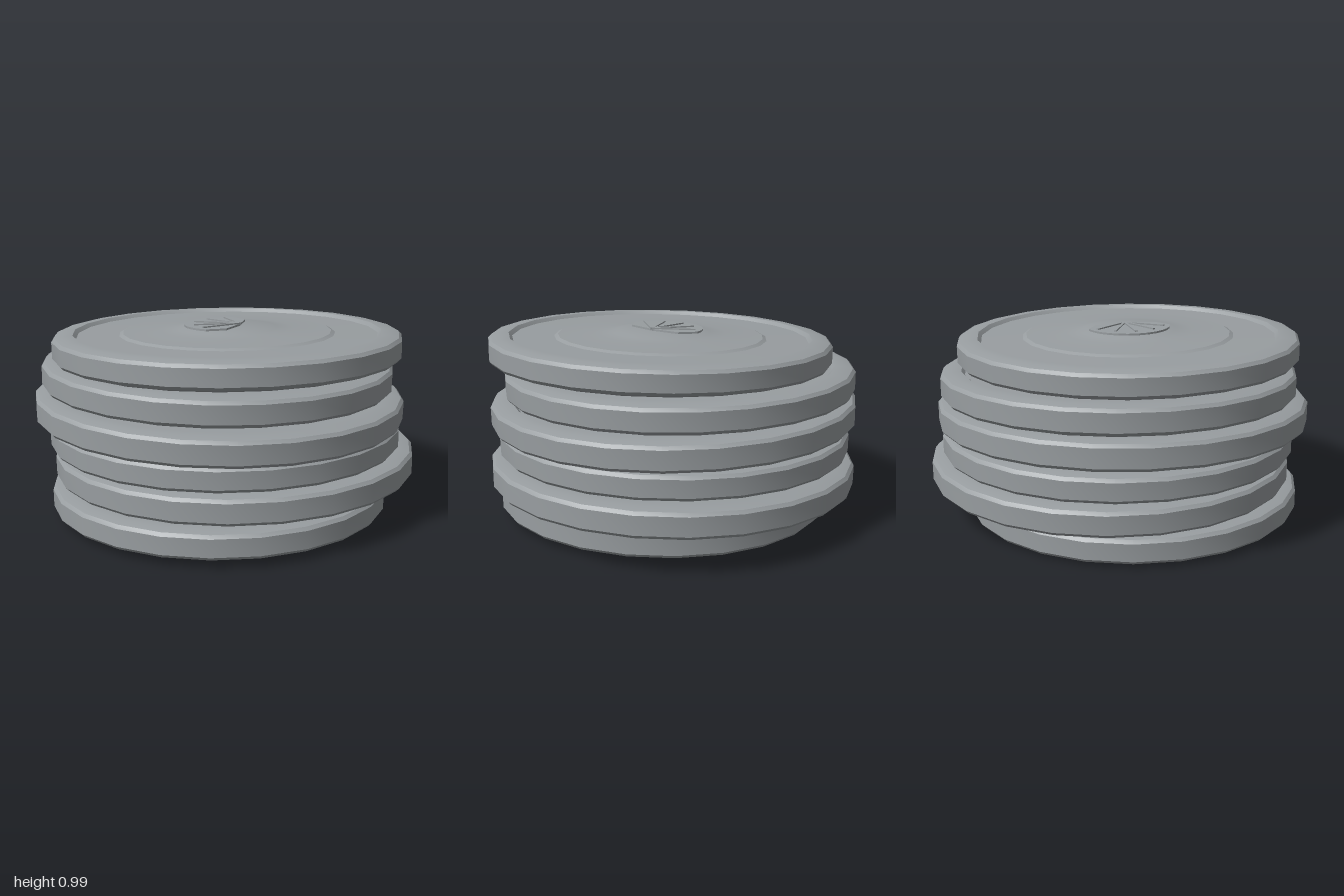
import * as THREE from 'three';
import { toCreasedNormals } from 'three/addons/utils/BufferGeometryUtils.js';

const SIDES = 24;

// Revolve a half profile into a coin with crisp steps and smooth walls
function turned(profile, phase) {
  const points = profile.map(([r, y]) => new THREE.Vector2(r, y));
  return toCreasedNormals(new THREE.LatheGeometry(points, SIDES, phase), 0.33);
}

// Flat underside, chamfered wall, rounded rim, then the given face
function discProfile(R, h, face) {
  return [
    [0, 0], [R - 0.06, 0], [R - 0.015, 0.015], [R, 0.032],
    [R, h - 0.028], [R - 0.015, h - 0.012], [R - 0.055, h - 0.002], [R - 0.1, h],
    ...face,
  ];
}

// Fan-shaped relief with five ribs, pointing towards +x
function createFan(material) {
  const fan = new THREE.Group();
  fan.name = 'fanRelief';
  const shape = new THREE.Shape();
  shape.moveTo(0.072, 0);
  shape.lineTo(0.05, 0.165);
  for (let i = 0; i <= 12; i++) {
    const a = THREE.MathUtils.degToRad(100 + (160 * i) / 12);
    shape.lineTo(Math.cos(a) * 0.225, Math.sin(a) * 0.225);
  }
  shape.lineTo(0.05, -0.165);
  shape.closePath();
  const plate = new THREE.Mesh(
    new THREE.ExtrudeGeometry(shape, { depth: 0.02, bevelEnabled: false }), material);
  plate.name = 'fanPlate';
  plate.rotation.x = -Math.PI / 2;
  fan.add(plate);

  for (let i = -2; i <= 2; i++) {
    const length = 0.25 - 0.01 * Math.abs(i);
    const geometry = new THREE.BoxGeometry(length, 0.014, 0.014);
    geometry.translate(-length / 2, 0, 0);
    const rib = new THREE.Mesh(geometry, material);
    rib.name = 'fanRib';
    rib.position.set(0.07, 0.02, 0);
    rib.rotation.y = THREE.MathUtils.degToRad(i * 26);
    fan.add(rib);
  }
  fan.rotation.y = THREE.MathUtils.degToRad(7);
  return fan;
}

export function createModel() {
  const model = new THREE.Group();
  model.name = 'coinStack';
  const metal = new THREE.MeshStandardMaterial({ color: 0x989da0 });
  metal.name = 'greyMetal';

  // Radius, centre x, z, base y, thickness, slope along x and z, turn
  const half = Math.PI / SIDES;
  const coins = [
    [0.895, 0, 0.085, 0.02, 0.15, 0.012, 0.012, half],
    [0.97, 0.035, -0.035, 0.182, 0.155, 0.018, 0.004, half],
    [0.94, -0.005, 0, 0.34, 0.148, 0.008, 0.004, half],
    [0.98, -0.03, 0.025, 0.488, 0.155, -0.019, 0, 0],
    [0.935, -0.05, 0, 0.65, 0.152, -0.015, 0, half],
    [0.91, 0.035, 0.062, 0.815, 0.145, 0.016, 0.012, half],
  ];

  coins.forEach(([R, x, z, y, h, slopeX, slopeZ, phase], i) => {
    const top = i === coins.length - 1;
    // Recessed band and a raised middle; the top coin also has a low dome
    const face = [[R - 0.107, h], [R - 0.125, h - 0.018], [0.565, h - 0.015], [0.545, h - 0.005]];
    if (top) face.push([0.45, h - 0.002], [0.35, h + 0.004], [0.262, h + 0.011], [0.23, h + 0.02], [0, h + 0.02]);
    else face.push([0, h - 0.005]);

    const coin = new THREE.Group();
    coin.name = top ? 'topCoin' : 'coin' + (i + 1);
    const disc = new THREE.Mesh(turned(discProfile(R, h, face), phase), metal);
    disc.name = 'coinDisc';
    coin.add(disc);
    if (top) {
      const fan = createFan(metal);
      fan.position.y = h + 0.01;
      coin.add(fan);
    }
    coin.position.set(x, y, z);
    coin.rotation.set(-slopeZ, 0, slopeX);
    model.add(coin);
  });

  return model;
}
